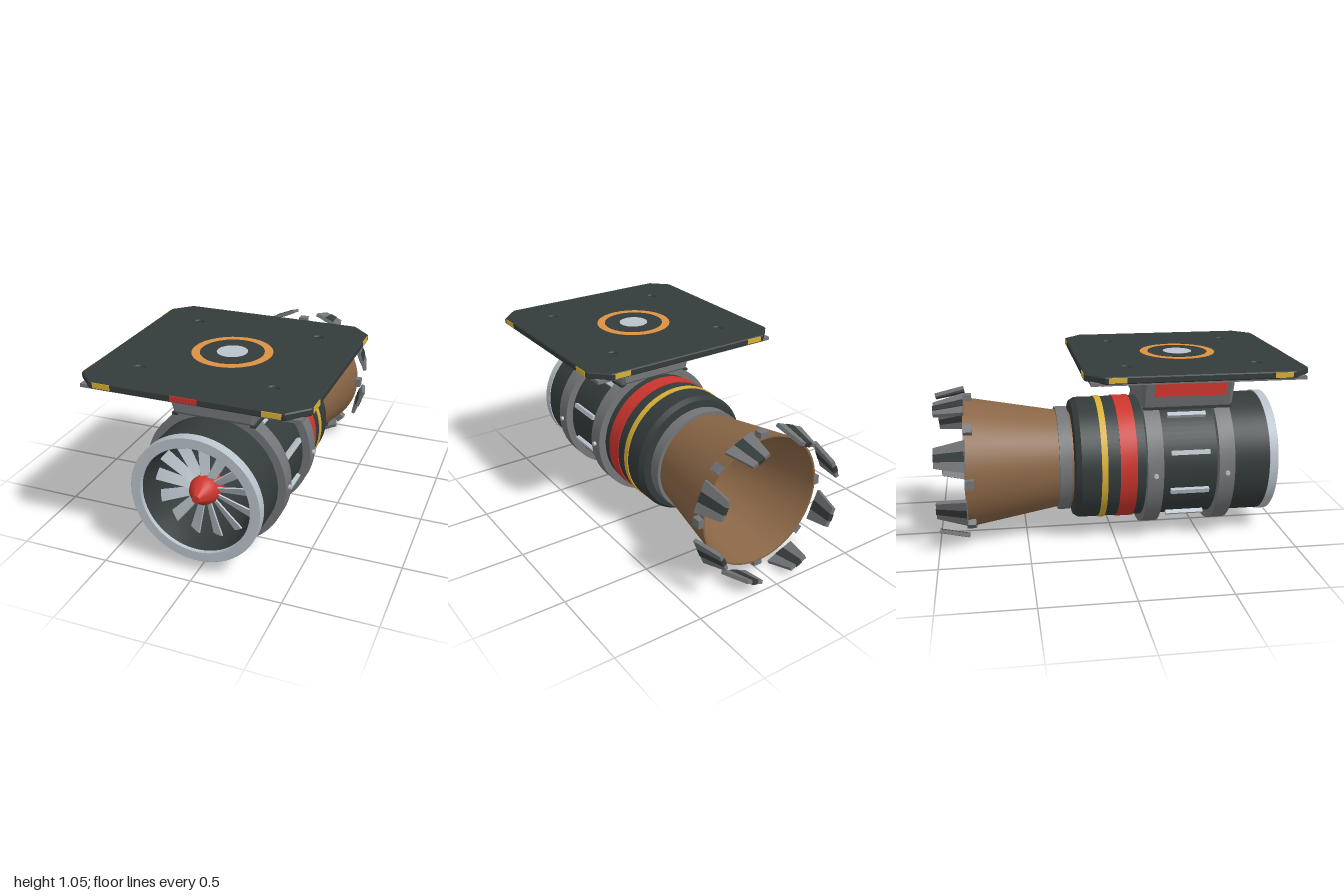
import * as THREE from 'three';
import { toCreasedNormals } from 'three/addons/utils/BufferGeometryUtils.js';

const mat = (name, color) => {
  const m = new THREE.MeshStandardMaterial({ color });
  m.name = name;
  return m;
};

export function createModel() {
  const M = {
    dark: mat('dark casing', 0x343b3b),
    grey: mat('steel grey', 0x737578),
    light: mat('light metal', 0xb9c3cb),
    brown: mat('burnt metal', 0x8a6646),
    red: mat('warning red', 0xcc352d),
    yellow: mat('warning yellow', 0xd8b036),
    orange: mat('copper orange', 0xdc9142),
  };
  const model = new THREE.Group();
  const engine = new THREE.Group();
  engine.name = 'engine';
  engine.position.y = 0.425;
  model.add(engine);

  const add = (parent, name, geo, m, x = 0, y = 0, z = 0) => {
    const mesh = new THREE.Mesh(geo, m);
    mesh.name = name;
    mesh.position.set(x, y, z);
    parent.add(mesh);
    return mesh;
  };
  const box = (w, h, d) => new THREE.BoxGeometry(w, h, d);
  // Closed [radius, z] profile turned about the engine axis; outer side runs toward +z
  const turn = (name, m, pts) => {
    const p = [...pts, pts[0]].map(([r, z]) => new THREE.Vector2(r, z));
    const g = new THREE.LatheGeometry(p, 72).rotateX(Math.PI / 2);
    return add(engine, name, toCreasedNormals(g, 0.5), m);
  };
  const band = (name, m, r0, r1, z0, z1) =>
    turn(name, m, [[r1, z0], [r1, z1], [r0, z1], [r0, z0]]);
  const shape = (pts) => new THREE.Shape(pts.map(([x, y]) => new THREE.Vector2(x, y)));
  // Repeats a part around the axis; local +y points outward
  const around = (name, n, start, build) => {
    for (let i = 0; i < n; i++) {
      const g = new THREE.Group();
      g.name = name;
      g.rotation.z = start + (i / n) * Math.PI * 2;
      build(g);
      engine.add(g);
    }
  };

  // Casing, intake lip and bands
  turn('casing', M.dark, [
    [0.268, -0.235], [0.335, -0.23], [0.353, -0.2], [0.353, 0.87],
    [0.3, 0.9], [0.268, 0.74], [0.268, -0.2],
  ]);
  turn('intakeLip', M.light, [
    [0.358, 0.87], [0.358, 0.917], [0.355, 0.92], [0.303, 0.92], [0.3, 0.917], [0.3, 0.87],
  ]);
  for (const z of [0.205, 0.61]) {
    band('clampBand', M.grey, 0.345, 0.397, z - 0.045, z + 0.045);
    for (const s of [-1, 1]) {
      add(engine, 'bandBolt', new THREE.CylinderGeometry(0.013, 0.013, 0.03, 10).rotateZ(Math.PI / 2), M.light, s * 0.397, 0, z);
    }
  }
  band('redBand', M.red, 0.345, 0.358, 0.015, 0.11);
  band('yellowBand', M.yellow, 0.345, 0.358, -0.09, -0.055);

  // Cooling slats between the clamp bands
  around('coolingSlat', 10, 0, (g) => add(g, 'slat', box(0.026, 0.03, 0.22), M.light, 0, 0.36, 0.41));

  // Exhaust nozzle, open at both ends
  turn('nozzle', M.brown, [
    [0.2, -0.22], [0.2, -0.25], [0.256, -0.25], [0.365, -0.84], [0.376, -0.84], [0.266, -0.22],
  ]);
  band('nozzleCollar', M.grey, 0.27, 0.302, -0.317, -0.25);
  around('nozzleLug', 8, 0, (g) => add(g, 'lug', box(0.05, 0.036, 0.05), M.grey, 0, 0.386, -0.815));

  // Tapered exhaust petals with a dark spine
  const petal = (w0, w1, depth) =>
    new THREE.ExtrudeGeometry(shape([[-w0, 0], [w0, 0], [w1, 0.168], [-w1, 0.168]]), { depth, bevelEnabled: false })
      .rotateX(-Math.PI / 2);
  around('exhaustPetal', 8, Math.PI / 8, (g) => {
    add(g, 'petal', petal(0.088, 0.055, 0.02), M.grey, 0, 0.412, -0.83).rotation.x = -0.2;
    add(g, 'petalSpine', petal(0.028, 0.02, 0.026), M.dark, 0, 0.409, -0.831).rotation.x = -0.2;
  });

  // Fan: thirteen twisted blades and a spinner
  const blade = new THREE.BoxGeometry(1, 0.215, 0.008, 1, 6, 1);
  const p = blade.attributes.position;
  for (let i = 0; i < p.count; i++) {
    const t = p.getY(i) / 0.215 + 0.5;
    const x = p.getX(i) * (0.046 + 0.02 * t), z = p.getZ(i), a = 0.25 * t - 0.65;
    p.setXYZ(i, x * Math.cos(a) - z * Math.sin(a), p.getY(i), x * Math.sin(a) + z * Math.cos(a));
  }
  blade.computeVertexNormals();
  around('fanBlade', 13, 0, (g) => add(g, 'blade', blade, M.light, 0, 0.17, 0.78));
  turn('spinner', M.red, [
    [0, 0.72], [0.08, 0.72], [0.08, 0.8], [0.068, 0.835], [0.025, 0.89], [0.022, 0.9], [0, 0.9],
  ]);

  // Pylon with side placards
  const pylon = new THREE.ExtrudeGeometry(
    shape([[-0.205, 0.785], [0.205, 0.785], [0.268, 0.985], [-0.268, 0.985]]),
    { depth: 0.485, bevelSize: 0.02, bevelThickness: 0.02, bevelSegments: 1 });
  add(model, 'pylon', pylon, M.grey, 0, 0, 0.17);
  for (const s of [-1, 1]) {
    add(model, 'pylonFoot', box(0.03, 0.014, 0.5), M.dark, s * 0.218, 0.764, 0.412);
    add(model, 'sidePlacard', box(0.006, 0.118, 0.4), M.red, s * 0.308, 0.912, 0.41);
  }

  // Mounting plate with clipped corners and four bolt holes
  const mount = new THREE.Group();
  mount.name = 'mountingPlate';
  mount.position.z = 0.395;
  model.add(mount);
  const e = 0.594, c = 0.5, signs = [-1, 1];
  const outline = shape([[-c, -e], [c, -e], [e, -c], [e, c], [c, e], [-c, e], [-e, c], [-e, -c]]);
  for (const sx of signs) {
    for (const sz of signs) {
      outline.holes.push(new THREE.Path().absarc(sx * 0.357, sz * 0.357, 0.032, 0, Math.PI * 2, true));
    }
  }
  const plate = new THREE.ExtrudeGeometry(outline,
    { depth: 0.026, bevelSize: 0.006, bevelThickness: 0.006, bevelSegments: 1 }).rotateX(-Math.PI / 2);
  add(mount, 'plate', plate, M.dark, 0, 1.008, 0);

  // Frame and panel under the plate; the panel is the floor of the bolt holes
  const square = (h) => [[-h, -h], [h, -h], [h, h], [-h, h]];
  const frame = shape(square(0.572));
  frame.holes.push(shape(square(0.54).reverse()));
  add(mount, 'underFrame', new THREE.ExtrudeGeometry(frame, { depth: 0.018, bevelEnabled: false }).rotateX(-Math.PI / 2), M.grey, 0, 0.988, 0);
  add(mount, 'underPanel', box(1.09, 0.035, 1.09), M.dark, 0, 1.0135, 0);

  const disc = (name, r, h, m, x, y, z) => add(mount, name, new THREE.CylinderGeometry(r, r, h, 32), m, x, y, z);
  for (const sx of signs) {
    for (const sz of signs) {
      disc('plateBolt', 0.018, 0.03, M.light, sx * 0.5, 0.988, sz * 0.5);
      // Yellow corner markings on all four edges
      add(mount, 'edgeMark', box(0.095, 0.028, 0.006), M.yellow, sx * 0.4375, 1.022, sz * 0.599);
      add(mount, 'edgeMark', box(0.006, 0.028, 0.095), M.yellow, sx * 0.599, 1.022, sz * 0.4375);
    }
  }
  add(mount, 'frontMark', box(0.14, 0.028, 0.006), M.red, 0, 1.022, 0.6);

  // Coupling on top of the plate
  disc('couplingRing', 0.215, 0.004, M.orange, 0, 1.0395, 0);
  disc('couplingFace', 0.17, 0.005, M.dark, 0, 1.0402, 0);
  disc('couplingPin', 0.082, 0.006, M.light, 0, 1.0408, 0);
  return model;
}
